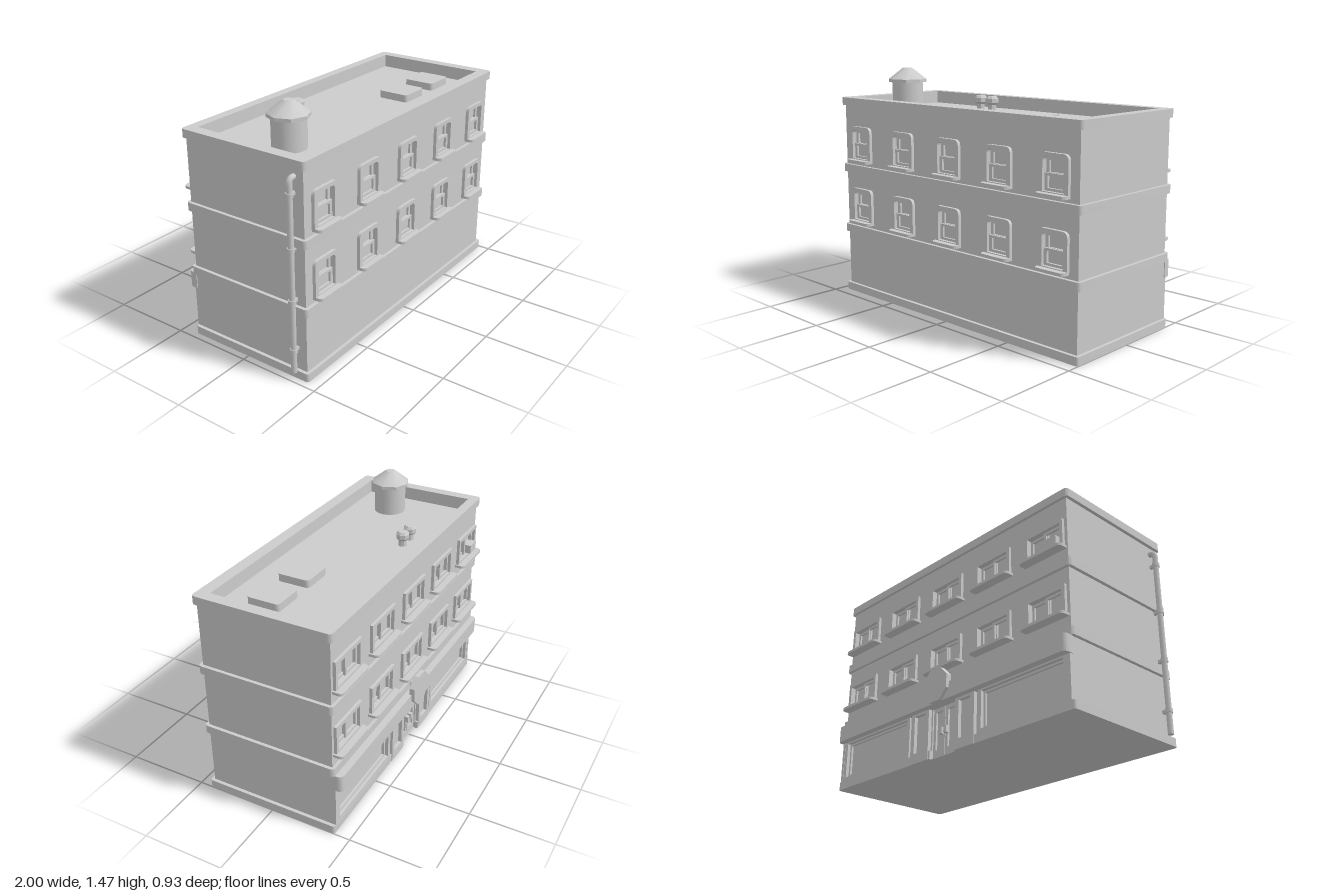
import * as THREE from 'three';
import { toCreasedNormals } from 'three/addons/utils/BufferGeometryUtils.js';

const material = new THREE.MeshStandardMaterial({ color: 0xcccccc });
const CX = 0.02;                       // centre line of the building
const X0 = -0.94, X1 = 0.98;           // side walls
const FRONT = 0.41, BACK = -0.387;     // wall faces
const columns = [-0.8, -0.4, 0, 0.4, 0.8].map((d) => CX + d);
const floors = [0, 0.4];

function add(parent, name, geometry, x = 0, y = 0, z = 0) {
  const mesh = new THREE.Mesh(geometry, material);
  mesh.name = name;
  mesh.position.set(x, y, z);
  parent.add(mesh);
  return mesh;
}

const box = (w, h, d) => new THREE.BoxGeometry(w, h, d);

// Rectangle with separate radii for the lower and upper corners
function rect(x0, y0, x1, y1, low = 0, high = low, PathType = THREE.Shape) {
  const p = new PathType();
  p.moveTo(x0 + low, y0);
  p.lineTo(x1 - low, y0);
  if (low) p.quadraticCurveTo(x1, y0, x1, y0 + low);
  p.lineTo(x1, y1 - high);
  if (high) p.quadraticCurveTo(x1, y1, x1 - high, y1);
  p.lineTo(x0 + high, y1);
  if (high) p.quadraticCurveTo(x0, y1, x0, y1 - high);
  p.lineTo(x0, y0 + low);
  if (low) p.quadraticCurveTo(x0, y0, x0 + low, y0);
  return p;
}
const hole = (x0, y0, x1, y1, low = 0, high = low) => rect(x0, y0, x1, y1, low, high, THREE.Path);

// Extrude towards +z, with optional holes
function extrude(shape, depth, holes = []) {
  shape.holes.push(...holes);
  const g = new THREE.ExtrudeGeometry(shape, { depth, bevelEnabled: false, curveSegments: 4 });
  return toCreasedNormals(g, 0.6);
}
// Extrude a plan (shape y = -z) upwards
const slab = (shape, height, holes) => extrude(shape, height, holes).rotateX(-Math.PI / 2);

const bandPlan = () => rect(X0 - 0.02, -0.43, X1 + 0.02, 0.405, 0.025);

// Tall sash window; origin at the bottom of the frame, on the wall face
function frontWindow() {
  const g = new THREE.Group();
  g.name = 'frontWindow';
  add(g, 'windowFrame', extrude(rect(-0.1, 0, 0.1, 0.21, 0, 0.035), 0.02, [hole(-0.073, 0.005, 0.073, 0.187, 0, 0.025)]));
  add(g, 'lowerSash', extrude(rect(-0.073, 0, 0.073, 0.1), 0.013, [hole(-0.052, 0.02, 0.052, 0.085)]), 0, 0, -0.012);
  add(g, 'upperSash', extrude(rect(-0.073, 0.09, 0.073, 0.187, 0, 0.025), 0.013, [hole(-0.052, 0.102, 0.052, 0.165)]), 0, 0, -0.025);
  add(g, 'windowSill', slab(rect(-0.1, -0.057, 0.1, 0, 0.03, 0), 0.018), 0, -0.018, 0);
  return g;
}

// Wide window with two sliding sashes
function backWindow() {
  const g = new THREE.Group();
  g.name = 'backWindow';
  add(g, 'windowFrame', extrude(rect(-0.14, 0, 0.14, 0.17), 0.018, [hole(-0.118, 0.012, 0.118, 0.148)]));
  for (const s of [-1, 1]) {
    const a = s < 0 ? -0.118 : -0.01, b = s < 0 ? 0.01 : 0.118;
    add(g, 'slidingSash', extrude(rect(a, 0.012, b, 0.148), 0.012, [hole(a + 0.016, 0.028, b - 0.016, 0.132)]),
      0, 0, s < 0 ? -0.025 : -0.013);
  }
  add(g, 'windowSill', slab(rect(-0.152, -0.06, 0.152, 0, 0.03, 0), 0.016), 0, -0.016, 0);
  return g;
}

// Street-level shop front; local +z points out of the back wall
function shopFront() {
  const g = new THREE.Group();
  g.name = 'shopFront';
  for (const s of [-1, 1]) {
    const mid = s * 0.615;
    add(g, 'shopWindowFrame', extrude(rect(-0.325, 0.05, 0.325, 0.31), 0.016, [hole(-0.298, 0.072, 0.298, 0.29)]), mid);
    add(g, 'shopWindowInnerFrame', extrude(rect(-0.3, 0.07, 0.3, 0.292), 0.012, [hole(-0.283, 0.087, 0.283, 0.277)]), mid, 0, -0.016);
    add(g, 'pilaster', extrude(rect(-0.078, 0, 0.078, 0.31), 0.022, [hole(-0.048, 0.06, 0.048, 0.285)]), s * 0.19);
    add(g, 'cornerPost', box(0.02, 0.35, 0.018), s * 0.95, 0.225, 0.009);
    add(g, 'doorLeaf', extrude(rect(-0.049, 0.005, 0.049, 0.3), 0.012, [hole(-0.028, 0.05, 0.028, 0.275)]), s * 0.051, 0, -0.02);
    add(g, 'doorHandle', box(0.024, 0.04, 0.022), s * 0.02, 0.15, 0.002);
  }
  add(g, 'fasciaBoard', slab(rect(-0.965, -0.06, 0.965, 0, 0.035, 0), 0.1), 0, 0.3, 0);
  const sign = new THREE.CylinderGeometry(0.108, 0.108, 0.035, 8).rotateY(Math.PI / 8).rotateX(Math.PI / 2);
  add(g, 'hangingSign', toCreasedNormals(sign, 0.5), 0, 0.4, 0.062);
  add(g, 'signMount', box(0.06, 0.06, 0.05), 0, 0.41, 0.025);
  return g;
}

export function createModel() {
  const model = new THREE.Group();
  model.name = 'building';

  // Walls: solid core with pierced front and back skins
  add(model, 'core', box(X1 - X0, 1.18, 0.745), CX, 0.61, 0.0125);
  const frontHoles = [], backHoles = [hole(CX - 0.1, 0.005, CX + 0.1, 0.3)];
  for (const s of [-1, 1]) backHoles.push(hole(CX + s * 0.615 - 0.298, 0.072, CX + s * 0.615 + 0.298, 0.29));
  for (const x of columns) for (const f of floors) {
    frontHoles.push(hole(x - 0.073, f + 0.495, x + 0.073, f + 0.677, 0, 0.025));
    backHoles.push(hole(x - 0.118, f + 0.542, x + 0.118, f + 0.678));
  }
  add(model, 'frontWall', extrude(rect(X0, 0, X1, 1.25), 0.025, frontHoles), 0, 0, FRONT - 0.025);
  add(model, 'backWall', extrude(rect(X0, 0, X1, 1.25), 0.027, backHoles), 0, 0, BACK);

  // Base course, open at the doorway
  const base = new THREE.Shape();
  base.moveTo(X0, -0.43);
  base.lineTo(X1, -0.43);
  base.quadraticCurveTo(X1 + 0.02, -0.43, X1 + 0.02, -0.41);
  base.lineTo(X1 + 0.02, 0.385);
  base.quadraticCurveTo(X1 + 0.02, 0.405, X1, 0.405);
  for (const [x, y] of [[CX + 0.1, 0.405], [CX + 0.1, 0.36], [CX - 0.1, 0.36], [CX - 0.1, 0.405], [X0, 0.405]]) base.lineTo(x, y);
  base.quadraticCurveTo(X0 - 0.02, 0.405, X0 - 0.02, 0.385);
  base.lineTo(X0 - 0.02, -0.41);
  base.quadraticCurveTo(X0 - 0.02, -0.43, X0, -0.43);
  add(model, 'baseCourse', slab(base, 0.05));

  // String courses and parapet
  for (const y of [0.4, 0.8]) add(model, 'stringCourse', slab(bandPlan(), 0.05), 0, y, 0);
  const inner = [-0.89, -0.355, 0.93, 0.345];
  add(model, 'parapetWall', slab(rect(X0, -FRONT, X1, -BACK), 0.06, [hole(...inner)]), 0, 1.18, 0);
  add(model, 'parapetCap', slab(bandPlan(), 0.05, [hole(...inner)]), 0, 1.23, 0);

  // Windows on both long sides
  for (const x of columns) for (const f of floors) {
    const front = frontWindow();
    front.position.set(x, 0.49 + f, FRONT);
    const back = backWindow();
    back.position.set(x, 0.53 + f, BACK);
    back.rotation.y = Math.PI;
    model.add(front, back);
    if (f > 0 && x === columns[0]) add(back, 'airConditioner', box(0.09, 0.055, 0.06), 0.06, 0.045, 0.005);
  }

  const shop = shopFront();
  shop.position.set(CX, 0, BACK);
  shop.rotation.y = Math.PI;
  model.add(shop);

  // Roof tank with octagonal cap
  const tank = new THREE.Group();
  tank.name = 'roofTank';
  tank.position.set(-0.676, 0, 0.11);
  add(tank, 'tankBody', new THREE.CylinderGeometry(0.098, 0.098, 0.2, 24), 0, 1.28, 0);
  add(tank, 'tankRim', toCreasedNormals(new THREE.CylinderGeometry(0.12, 0.12, 0.02, 8), 0.5), 0, 1.385, 0);
  add(tank, 'tankRoof', toCreasedNormals(new THREE.CylinderGeometry(0.03, 0.12, 0.07, 8), 0.5), 0, 1.43, 0);
  model.add(tank);

  // Roof vents and hatches
  const ventProfile = [[0.025, 0], [0.025, 0.04], [0.04, 0.055], [0.04, 0.08], [0.029, 0.095], [0, 0.095]];
  for (const x of [-0.32, -0.22]) {
    const vent = new THREE.LatheGeometry(ventProfile.map(([r, y]) => new THREE.Vector2(r, y)), 8);
    add(model, 'roofVent', toCreasedNormals(vent, 0.5), x, 1.195, -0.2);
  }
  for (const x of [0.42, 0.72]) add(model, 'roofHatch', slab(rect(-0.1, -0.1, 0.1, 0.1, 0.025), 0.05), x, 1.195, 0.11);

  // Drainpipe with brackets
  const pipe = new THREE.CurvePath();
  const p = (x, y) => new THREE.Vector3(x, y, 0.35);
  pipe.add(new THREE.LineCurve3(p(-0.978, 0.05), p(-0.978, 1.15)));
  pipe.add(new THREE.QuadraticBezierCurve3(p(-0.978, 1.15), p(-0.978, 1.182), p(-0.955, 1.182)));
  pipe.add(new THREE.LineCurve3(p(-0.955, 1.182), p(-0.93, 1.182)));
  add(model, 'drainpipe', new THREE.TubeGeometry(pipe, 80, 0.017, 10));
  add(model, 'drainpipeEnd', new THREE.CylinderGeometry(0.017, 0.017, 0.01, 10), -0.978, 0.055, 0.35);
  for (const y of [0.185, 0.485, 0.79, 1.095]) {
    add(model, 'pipeBracket', new THREE.CylinderGeometry(0.022, 0.022, 0.025, 10), -0.978, y, 0.35);
    add(model, 'bracketArm', box(0.04, 0.02, 0.016), -0.955, y, 0.35);
  }
  return model;
}
